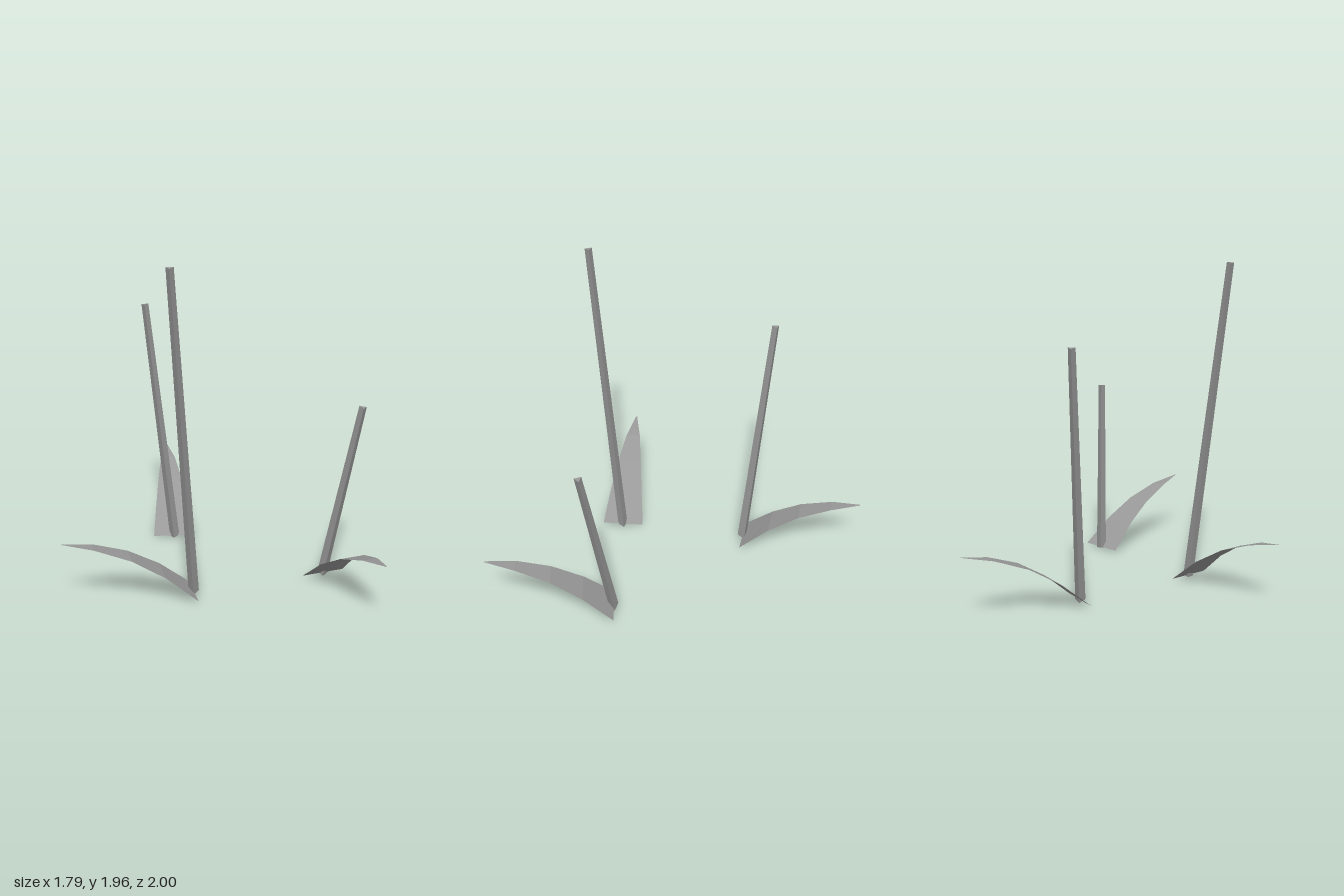
import * as THREE from 'three';

// Each sprout: shared base point, stem top and leaf tip
const SPROUTS = [
  { base: [-0.163, 0.545], top: [-0.268, 1.953, 0.741], tip: [-0.898, 0.727] },
  { base: [-0.311, -0.255], top: [-0.483, 1.52, -0.374], tip: [-0.4, -1.0] },
  { base: [0.61, 0.292], top: [0.807, 1.087, 0.383], tip: [0.887, 1.0] },
];

// Leaf cross-sections: distance along the leaf, height, half width
const SECTIONS = [
  [0, 0.01, 0.133],
  [0.24, 0.16, 0.105],
  [0.49, 0.273, 0.077],
  [0.76, 0.348, 0.046],
  [1, 0.385, 0.004],
];

// Tapered three-sided stem leaning from base to top
function makeStem(base, top, material) {
  const start = new THREE.Vector3(base[0], 0.005, base[1]);
  const end = new THREE.Vector3(...top);
  const axis = end.clone().sub(start);
  const stem = new THREE.Mesh(new THREE.CylinderGeometry(0.025, 0.035, axis.length(), 3), material);
  stem.position.copy(start).add(end).multiplyScalar(0.5);
  stem.quaternion.setFromUnitVectors(new THREE.Vector3(0, 1, 0), axis.normalize());
  stem.name = 'stem';
  return stem;
}

// Thin arched leaf narrowing to a point
function makeLeaf(base, tip, material) {
  const dx = tip[0] - base[0], dz = tip[1] - base[1];
  const length = Math.hypot(dx, dz);
  const geometry = new THREE.PlaneGeometry(2, 1, 1, SECTIONS.length - 1);
  const p = geometry.attributes.position;
  for (let i = 0; i < p.count; i++) {
    // plane rows run from the tip down to the base
    const [t, y, half] = SECTIONS[SECTIONS.length - 1 - Math.floor(i / 2)];
    const side = p.getX(i) * half;
    p.setXYZ(i, base[0] + dx * t - (dz / length) * side, y, base[1] + dz * t + (dx / length) * side);
  }
  const flat = geometry.toNonIndexed();
  flat.computeVertexNormals();
  const leaf = new THREE.Mesh(flat, material);
  leaf.name = 'leaf';
  return leaf;
}

export function createModel() {
  const grey = new THREE.MeshStandardMaterial({ color: 0x999999, flatShading: true, side: THREE.DoubleSide });
  grey.name = 'grey';
  const model = new THREE.Group();
  model.name = 'sprouts';
  for (const { base, top, tip } of SPROUTS) {
    const sprout = new THREE.Group();
    sprout.name = 'sprout';
    sprout.add(makeStem(base, top, grey), makeLeaf(base, tip, grey));
    model.add(sprout);
  }
  return model;
}
